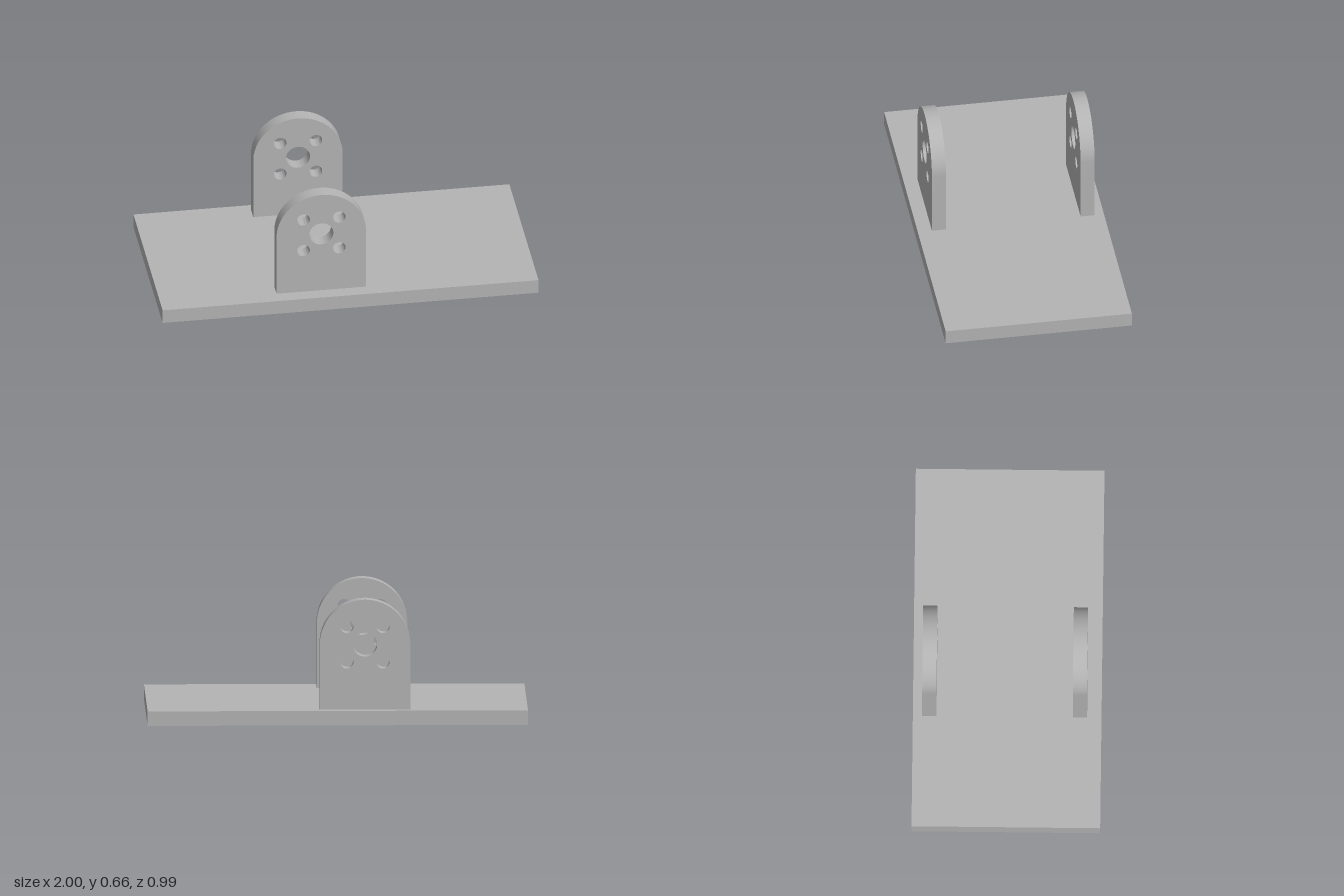
import * as THREE from 'three';
import { toCreasedNormals } from 'three/addons/utils/BufferGeometryUtils.js';

const BASE_HEIGHT = 0.077;
const LUG = { x: -0.144, y: 0.422, radius: 0.238, thickness: 0.075 };

// Round-topped plate with a central bore and four bolt holes
function lugGeometry() {
  const { radius, thickness, x, y } = LUG;
  const foot = BASE_HEIGHT - y;
  const shape = new THREE.Shape();
  shape.moveTo(-radius, foot);
  shape.lineTo(radius, foot);
  shape.lineTo(radius, 0);
  shape.absarc(0, 0, radius, 0, Math.PI, false);
  shape.closePath();

  const addHole = (hx, hy, r) => {
    const hole = new THREE.Path();
    hole.absarc(hx, hy, r, 0, Math.PI * 2, true);
    shape.holes.push(hole);
  };
  addHole(0, 0, 0.064);
  for (const sx of [-1, 1]) {
    for (const sy of [-1, 1]) addHole(sx * 0.095, sy * 0.094, 0.034);
  }

  const geometry = new THREE.ExtrudeGeometry(shape, {
    depth: thickness, bevelEnabled: false, curveSegments: 32,
  });
  geometry.translate(x, y, -thickness / 2);
  return toCreasedNormals(geometry, Math.PI / 6);
}

export function createModel() {
  const group = new THREE.Group();
  group.name = 'mountingBracket';

  const metal = new THREE.MeshStandardMaterial({ color: 0xb4b4b4 });
  metal.name = 'grey metal';

  // Flat base
  const base = new THREE.Mesh(new THREE.BoxGeometry(2, BASE_HEIGHT, 0.992), metal);
  base.name = 'basePlate';
  base.position.y = BASE_HEIGHT / 2;
  group.add(base);

  // Pair of upright lugs
  const geometry = lugGeometry();
  for (const [name, z] of [['frontLug', 0.383], ['backLug', -0.409]]) {
    const lug = new THREE.Mesh(geometry, metal);
    lug.name = name;
    lug.position.z = z;
    group.add(lug);
  }
  return group;
}
